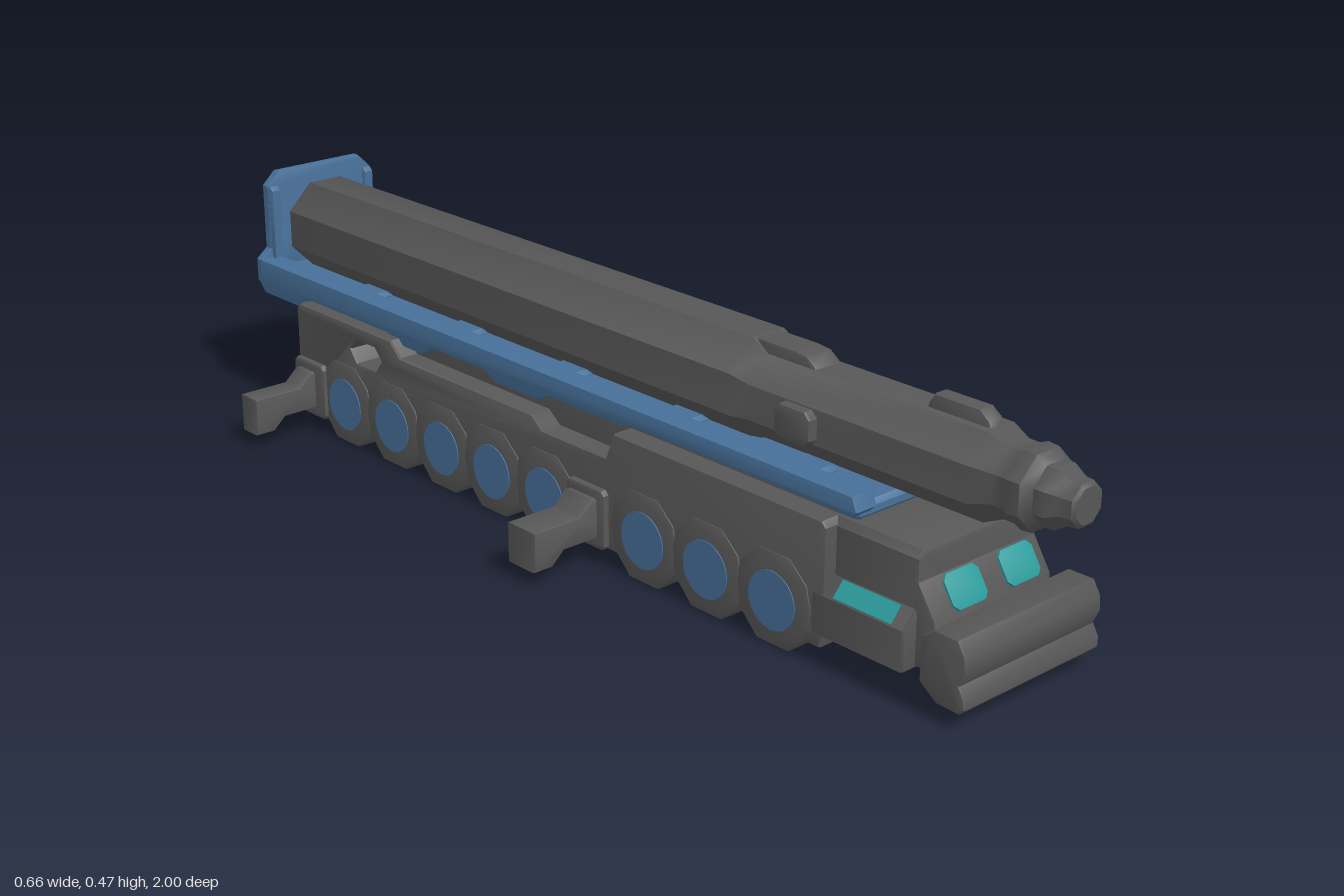
import * as THREE from 'three';
import { toCreasedNormals } from 'three/addons/utils/BufferGeometryUtils.js';

const CX = -0.013; // the body sits slightly off the middle

const paint = (name, color) => {
  const m = new THREE.MeshStandardMaterial({ color });
  m.name = name;
  return m;
};

// Bevelled extrusion centred on its depth
function extrude(points, depth, bevel = 0.006, holes = []) {
  const v = (list) => list.map(([a, b]) => new THREE.Vector2(a, b));
  const shape = new THREE.Shape(v(points));
  holes.forEach((h) => shape.holes.push(new THREE.Path(v(h))));
  const d = depth - 2 * bevel;
  const g = new THREE.ExtrudeGeometry(shape, {
    depth: d, bevelEnabled: true, bevelThickness: bevel, bevelSize: bevel, bevelOffset: -bevel, bevelSegments: 2,
  });
  g.translate(0, 0, -d / 2);
  return toCreasedNormals(g, 0.7);
}

// Profile given as [z, y], extruded across x
const extrudeX = (...args) => extrude(...args).rotateY(-Math.PI / 2);

const rect = (a0, b0, a1, b1, c = 0.008) => [
  [a0 + c, b0], [a1 - c, b0], [a1, b0 + c], [a1, b1 - c], [a1 - c, b1], [a0 + c, b1], [a0, b1 - c], [a0, b0 + c],
];

export function createModel() {
  const root = new THREE.Group();
  root.name = 'missileTruck';
  const grey = paint('dark grey', 0x575757);
  const blue = paint('steel blue', 0x477099);
  const teal = paint('teal glass', 0x2c9c9c);

  const add = (name, geo, mat, x = 0, y = 0, z = 0, parent = root) => {
    const m = new THREE.Mesh(geo, mat);
    m.name = name;
    m.position.set(x, y, z);
    parent.add(m);
    return m;
  };

  // Hull with stepped roof line and an opening near the tail
  add('hull', extrudeX([
    [-0.82, 0.03], [0.62, 0.03], [0.63, 0.06], [0.63, 0.24], [0.62, 0.25], [0.13, 0.25], [0.11, 0.2], [-0.06, 0.2],
    [-0.09, 0.222], [-0.48, 0.222], [-0.51, 0.25], [-0.81, 0.25], [-0.82, 0.24],
  ], 0.328, 0.007, [[[-0.54, 0.2], [-0.56, 0.222], [-0.62, 0.222], [-0.64, 0.2], [-0.62, 0.175], [-0.56, 0.175]]]),
  grey, CX);
  add('hullCore', extrudeX(rect(-0.5, 0.17, 0.62, 0.262), 0.24), grey, CX);

  // Cab with sloped shoulders
  const cab = [
    [0.164, 0.055], [0.164, 0.125], [0.138, 0.155], [0.138, 0.238], [0.126, 0.25],
    [-0.126, 0.25], [-0.138, 0.238], [-0.138, 0.155], [-0.164, 0.125], [-0.164, 0.055],
  ];
  add('cab', extrude(cab, 0.2), grey, CX, 0, 0.7);
  add('windscreenFrame', extrudeX([[0.79, 0.06], [0.84, 0.06], [0.835, 0.145], [0.8, 0.2], [0.79, 0.2]], 0.276, 0.003), grey, CX);
  add('bumper', extrudeX([
    [0.83, 0.055], [0.865, 0.03], [0.91, 0.028], [0.92, 0.038], [0.92, 0.055], [0.908, 0.075], [0.92, 0.1],
    [0.918, 0.125], [0.903, 0.15], [0.855, 0.15], [0.83, 0.13],
  ], 0.328), grey, CX);
  for (const s of [-1, 1]) {
    const w = add('windscreen', extrude(rect(-0.04, -0.03, 0.04, 0.03, 0.01), 0.006, 0.001), teal, s * 0.064, 0.173, 0.819);
    w.rotation.x = -0.566;
    const side = add('sideWindow', new THREE.BoxGeometry(0.006, 0.034, 0.12), teal, CX + s * 0.151, 0.14, 0.71);
    side.rotation.z = s * 0.733;
  }

  // Eight axles of wheels with painted hubs
  const tyre = extrudeX([
    [-0.035, -0.085], [0.035, -0.085], [0.075, -0.045], [0.085, 0], [0.075, 0.045], [0.035, 0.08],
    [-0.035, 0.08], [-0.075, 0.045], [-0.085, 0], [-0.075, -0.045],
  ], 0.075);
  const hub = new THREE.CylinderGeometry(0.052, 0.052, 0.006, 24).rotateZ(Math.PI / 2);
  for (const z of [0.52, 0.365, 0.21, -0.05, -0.2, -0.35, -0.505, -0.66]) {
    for (const s of [-1, 1]) {
      add('wheel', tyre, grey, CX + s * 0.1295, 0.085, z);
      add('hub', hub, blue, CX + s * 0.166, 0.08, z);
    }
  }

  // Stabiliser legs
  const leg = extrude([
    [0.13, 0.05], [0.262, 0.05], [0.288, 0.026], [0.328, 0.026], [0.328, 0.1], [0.225, 0.1], [0.198, 0.125], [0.13, 0.125],
  ], 0.075);
  const rearLeg = leg.clone().scale(1, 1, 0.72);
  const bracket = extrudeX(rect(-0.05, 0.03, 0.05, 0.142), 0.06);
  for (const s of [-1, 1]) {
    for (const [z, geo] of [[0.065, leg], [-0.775, rearLeg]]) {
      add('stabiliserLeg', geo, grey, 0, 0, z).rotation.y = s < 0 ? Math.PI : 0;
      add('legBracket', bracket, grey, CX + s * 0.146, 0, z + 0.005);
    }
  }

  // Launch cradle: bed, rails, braces and tail plate
  add('cradleBed', extrudeX(rect(-0.99, 0.248, 0.66, 0.276), 0.24), blue, CX);
  const rail = extrudeX([
    [-0.99, 0.25], [-0.97, 0.228], [-0.84, 0.228], [-0.8, 0.25], [-0.55, 0.25], [-0.52, 0.235], [-0.44, 0.235], [-0.41, 0.255],
    [-0.25, 0.255], [-0.22, 0.24], [-0.1, 0.24], [-0.07, 0.255], [0.12, 0.255], [0.15, 0.262], [0.66, 0.262],
    [0.67, 0.272], [0.66, 0.297], [-0.98, 0.297],
  ], 0.05);
  const pad = extrudeX(rect(-0.04, 0.262, 0.04, 0.286), 0.06, 0.004);
  for (const s of [-1, 1]) {
    add('cradleRail', rail, blue, CX + s * 0.115);
    for (const z of [0.5, 0.2, -0.1, -0.4, -0.7]) add('cradlePad', pad, blue, CX + s * 0.07, 0, z);
  }
  add('tailPlate', extrude([
    [-0.135, 0.23], [0.122, 0.23], [0.126, 0.25], [0.126, 0.445], [0.098, 0.472], [-0.098, 0.472], [-0.126, 0.445],
    [-0.126, 0.315], [-0.15, 0.295], [-0.15, 0.25],
  ], 0.024), blue, 0, 0, -0.988);
  for (const s of [-1, 1]) add('tailPlateRib', extrudeX(rect(-0.995, 0.28, -0.965, 0.445), 0.02, 0.004), blue, s * 0.114);

  // Eight-sided missile tube with stepped nose
  const missile = new THREE.Group();
  missile.name = 'missile';
  missile.position.set(CX, 0.36, 0);
  root.add(missile);
  const profile = [
    [0, -0.95], [0.088, -0.95], [0.095, -0.94], [0.095, 0.335], [0.08, 0.365], [0.08, 0.83], [0.064, 0.865], [0.064, 0.885],
    [0.07, 0.9], [0.068, 0.92], [0.053, 0.935], [0.053, 0.955], [0.04, 0.975], [0.038, 0.995], [0.032, 1], [0, 1],
  ].map(([r, z]) => new THREE.Vector2(r, z));
  const tube = new THREE.LatheGeometry(profile, 8, Math.PI / 8).rotateX(Math.PI / 2);
  // Lower the slimmer nose section a little
  const p = tube.attributes.position;
  for (let i = 0; i < p.count; i++) if (p.getZ(i) > 0.35) p.setY(i, p.getY(i) - 0.008);
  add('missileTube', toCreasedNormals(tube, 0.6), grey, 0, 0, 0, missile);

  // Ridges on top and clamps on the side
  add('topRidge', extrudeX([[0.3, 0.04], [0.36, 0.04], [0.48, 0.05], [0.47, 0.07], [0.45, 0.084], [0.42, 0.087], [0.3, 0.087]], 0.06),
    grey, 0, 0, 0, missile);
  add('noseRidge', extrudeX([[0.69, 0.05], [0.83, 0.05], [0.82, 0.075], [0.8, 0.09], [0.71, 0.09], [0.7, 0.075]], 0.035),
    grey, 0, 0, 0, missile);
  for (const z of [0.255, 0.025, -0.77]) {
    add('sideClamp', extrudeX(rect(-0.04, -0.04, 0.04, 0.03, 0.012), 0.045), grey, 0.09, 0, z, missile);
  }
  add('rightLug', extrudeX(rect(-0.04, -0.04, 0.04, 0.02, 0.012), 0.03), grey, -0.078, 0, 0.48, missile);
  return root;
}
